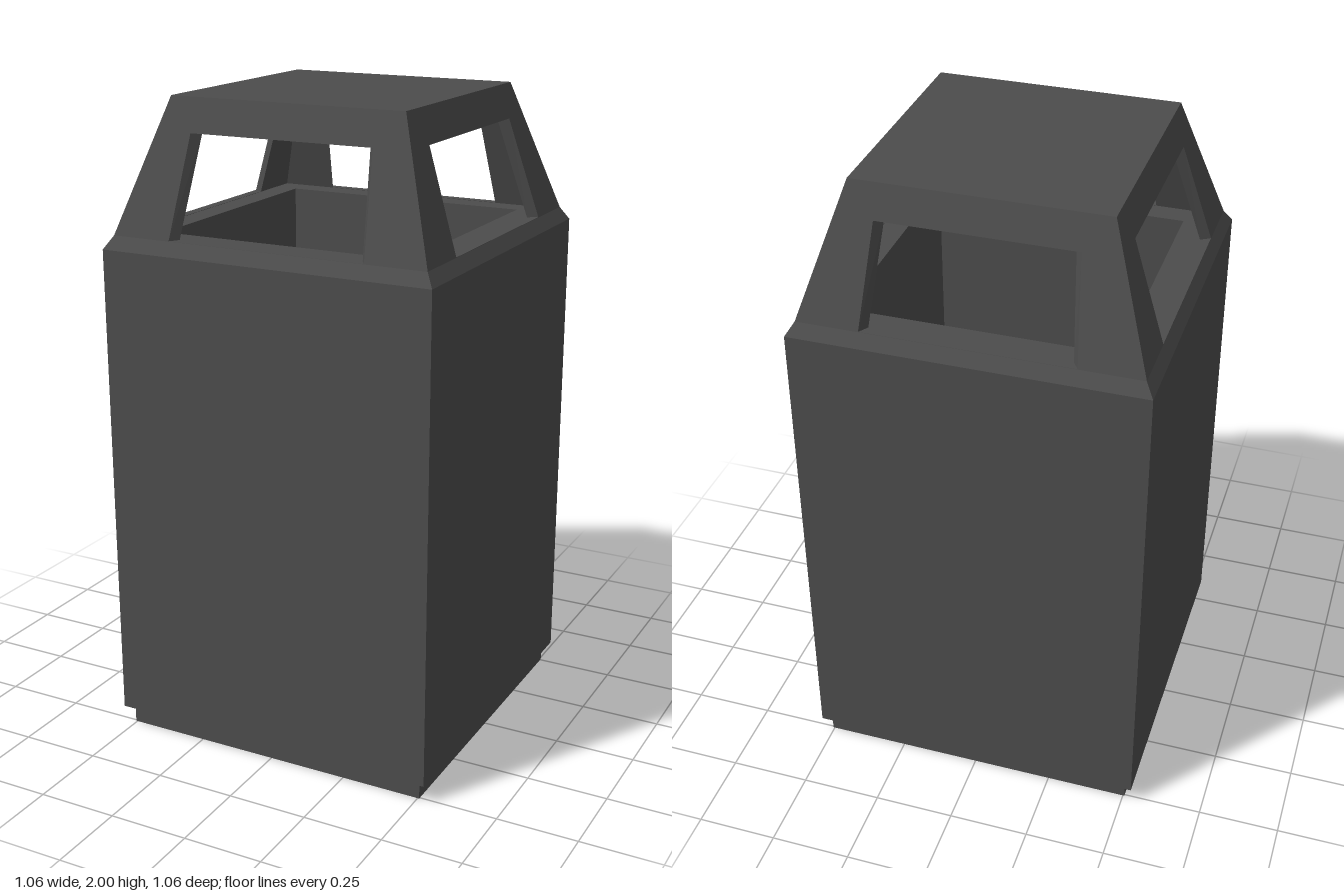
import * as THREE from 'three';

const WALL = 0.03;      // thickness of the hood sheet
const SILL = 0.505;     // half width of the hood at its foot
const TOP = 0.375;      // half width of the roof
const SILL_Y = 1.6;
const TOP_Y = 2;

// Four-sided lathe: each profile point is [half width, height]
function squareLathe(profile, material, name) {
  const points = profile.map(([w, y]) => new THREE.Vector2(w * Math.SQRT2, y));
  const mesh = new THREE.Mesh(new THREE.LatheGeometry(points, 4, Math.PI / 4), material);
  mesh.name = name;
  return mesh;
}

// Half width of the tapering hood at a given height
function hoodWidth(y) {
  return THREE.MathUtils.mapLinear(y, SILL_Y, TOP_Y, SILL, TOP);
}

// Leaning trapezoid frame with a window, mitred at the corners
function hoodPanelGeometry() {
  const shape = new THREE.Shape([
    new THREE.Vector2(-SILL, SILL_Y), new THREE.Vector2(SILL, SILL_Y),
    new THREE.Vector2(TOP, TOP_Y), new THREE.Vector2(-TOP, TOP_Y),
  ]);
  shape.holes.push(new THREE.Path([
    new THREE.Vector2(-0.315, SILL_Y), new THREE.Vector2(-0.292, 1.9),
    new THREE.Vector2(0.292, 1.9), new THREE.Vector2(0.315, SILL_Y),
  ].map((p) => (p.y === SILL_Y ? p.setY(SILL_Y + 0.001) : p))));
  const geometry = new THREE.ExtrudeGeometry(shape, { depth: WALL, bevelEnabled: false });
  const pos = geometry.attributes.position;
  for (let i = 0; i < pos.count; i++) {
    const width = hoodWidth(pos.getY(i));
    const z = width - WALL + pos.getZ(i);
    pos.setX(i, pos.getX(i) * (z / width));
    pos.setZ(i, z);
  }
  geometry.computeVertexNormals();
  return geometry;
}

export function createModel() {
  const group = new THREE.Group();
  group.name = 'litterBin';

  const metal = new THREE.MeshStandardMaterial({
    color: 0x4c4c4c, flatShading: true, side: THREE.DoubleSide,
  });
  metal.name = 'dark grey metal';

  // Recessed plinth
  group.add(squareLathe([[0.505, 0], [0.505, 0.06]], metal, 'plinth'));

  // Outer casing with lower lip and chamfered shoulder
  group.add(squareLathe(
    [[0.505, 0.06], [0.53, 0.06], [0.53, 1.56], [SILL, SILL_Y]], metal, 'casing'));

  // Sill under the openings and the open liner hanging from it
  group.add(squareLathe([[SILL, SILL_Y], [0.4, SILL_Y], [0.4, 0.27]], metal, 'liner'));

  // Four windowed sides of the hood
  const panel = hoodPanelGeometry();
  for (let i = 0; i < 4; i++) {
    const side = new THREE.Mesh(panel, metal);
    side.name = 'hoodSide' + (i + 1);
    side.rotation.y = i * Math.PI / 2;
    group.add(side);
  }

  // Flat roof plate
  group.add(squareLathe(
    [[0, 1.97], [0.36, 1.97], [TOP, TOP_Y], [0, TOP_Y]], metal, 'roof'));

  return group;
}
